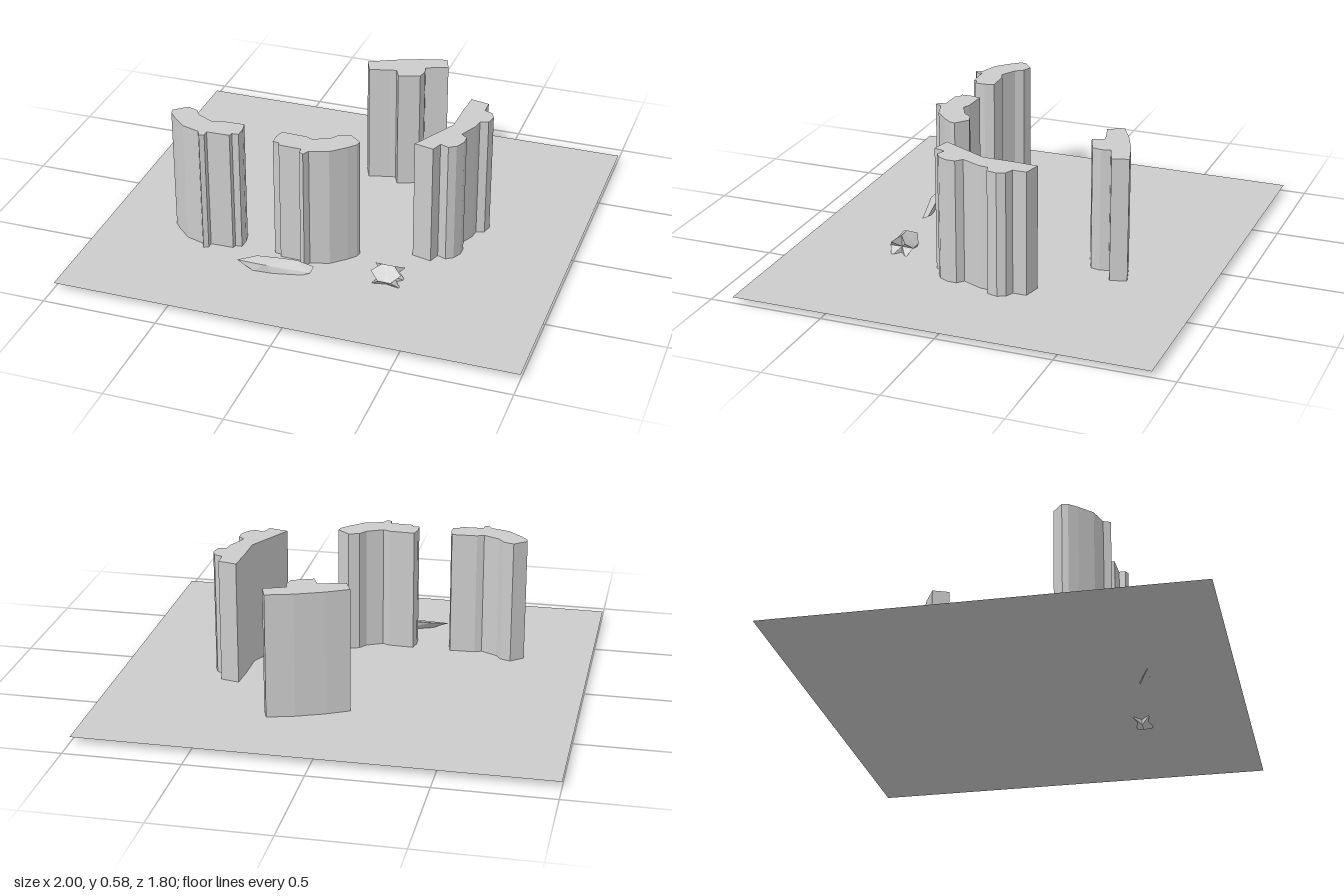
import * as THREE from 'three';
import { ConvexGeometry } from 'three/addons/geometries/ConvexGeometry.js';

const GROUND = 0.026;
const grey = new THREE.MeshStandardMaterial({ color: 0xcccccc, flatShading: true });
const greyDouble = new THREE.MeshStandardMaterial({ color: 0xcccccc, flatShading: true, side: THREE.DoubleSide });

function addMesh(group, name, geometry, material = grey) {
  const mesh = new THREE.Mesh(geometry, material);
  mesh.name = name;
  group.add(mesh);
  return mesh;
}

// Upright tower from an [x, z] footprint
function tower(footprint, top) {
  const shape = new THREE.Shape(footprint.map(([x, z]) => new THREE.Vector2(x, -z)));
  const geometry = new THREE.ExtrudeGeometry(shape, { depth: top - GROUND, bevelEnabled: false });
  geometry.rotateX(-Math.PI / 2);
  geometry.translate(0, GROUND, 0);
  return geometry;
}

// Barrel along x: diamond waist, four spikes at each end, hollowed end faces
function spikyBarrel() {
  const ring = (side) => Array.from({ length: 8 }, (_, i) => {
    const a = (i * Math.PI) / 4;
    const spike = i % 2 === 1;
    const r = spike ? 0.046 : 0.053;
    return [side * (spike ? 0.066 : 0.028), r * Math.sin(a), r * Math.cos(a)];
  });
  const waist = Array.from({ length: 8 }, (_, i) => {
    const a = (i * Math.PI) / 4;
    const r = i % 2 ? 0.036 : 0.053;
    return [0, r * Math.sin(a), r * Math.cos(a)];
  });
  const rings = [ring(-1), waist, ring(1)];
  const positions = [...rings.flat(2), -0.025, 0, 0, 0.025, 0, 0];
  const index = [];
  for (let i = 0; i < 8; i++) {
    const j = (i + 1) % 8;
    for (let k = 0; k < 2; k++) {
      const a = k * 8 + i, b = k * 8 + j;
      index.push(a, b, a + 8, b, b + 8, a + 8);
    }
    index.push(24, j, i, 25, 16 + i, 16 + j);
  }
  const geometry = new THREE.BufferGeometry();
  geometry.setAttribute('position', new THREE.Float32BufferAttribute(positions, 3));
  geometry.setIndex(index);
  const flat = geometry.toNonIndexed();
  flat.computeVertexNormals();
  return flat;
}

export function createModel() {
  const model = new THREE.Group();
  model.name = 'towerCourt';

  // Thin ground sheet
  const ground = addMesh(model, 'ground', new THREE.PlaneGeometry(2, 1.8), greyDouble);
  ground.rotation.x = -Math.PI / 2;
  ground.position.y = GROUND;

  // Mirrored pair of front towers
  const bent = [
    [-0.705, 0.275], [-0.65, 0.23], [-0.605, 0.245], [-0.58, 0.28], [-0.51, 0.315],
    [-0.48, 0.302], [-0.37, 0.297], [-0.36, 0.34], [-0.362, 0.385], [-0.39, 0.388],
    [-0.395, 0.405], [-0.495, 0.408], [-0.495, 0.435], [-0.515, 0.445], [-0.53, 0.415],
    [-0.61, 0.39], [-0.67, 0.335], [-0.70, 0.3],
  ];
  addMesh(model, 'frontRightTower', tower(bent, 0.576));
  addMesh(model, 'frontLeftTower', tower(bent.map(([x, z]) => [-0.572 - x, z]), 0.57));

  // Back tower
  addMesh(model, 'backTower', tower([
    [-0.065, -0.425], [0.03, -0.475], [0.15, -0.523], [0.265, -0.555], [0.29, -0.485],
    [0.195, -0.45], [0.205, -0.41], [0.195, -0.37], [0.105, -0.335], [0.082, -0.385],
    [0.055, -0.38], [-0.035, -0.355],
  ], 0.57));

  // Long bent side tower
  addMesh(model, 'sideTower', tower([
    [0.467, -0.233], [0.548, -0.215], [0.548, -0.155], [0.585, -0.14], [0.6, -0.105],
    [0.59, -0.06], [0.555, -0.05], [0.55, -0.01], [0.512, 0.075], [0.54, 0.1],
    [0.54, 0.14], [0.52, 0.18], [0.49, 0.2], [0.452, 0.185], [0.435, 0.235],
    [0.35, 0.215], [0.457, 0.01], [0.46, -0.13],
  ], 0.57));

  // Flat faceted shard
  const shard = [
    [-0.325, 0.058, 0.535], [-0.25, 0.07, 0.495], [-0.25, 0.025, 0.545], [-0.16, 0.075, 0.49],
    [-0.16, 0.024, 0.54], [-0.08, 0.07, 0.475], [-0.05, 0.024, 0.515], [-0.005, 0.05, 0.47],
    [-0.01, 0.035, 0.5], [-0.2, 0.06, 0.54], [-0.1, 0.022, 0.49],
  ].map((p) => new THREE.Vector3(...p));
  addMesh(model, 'shard', new ConvexGeometry(shard));

  // Spiky sculpture
  addMesh(model, 'spikySculpture', spikyBarrel(), greyDouble).position.set(0.312, 0.053, 0.44);

  return model;
}
